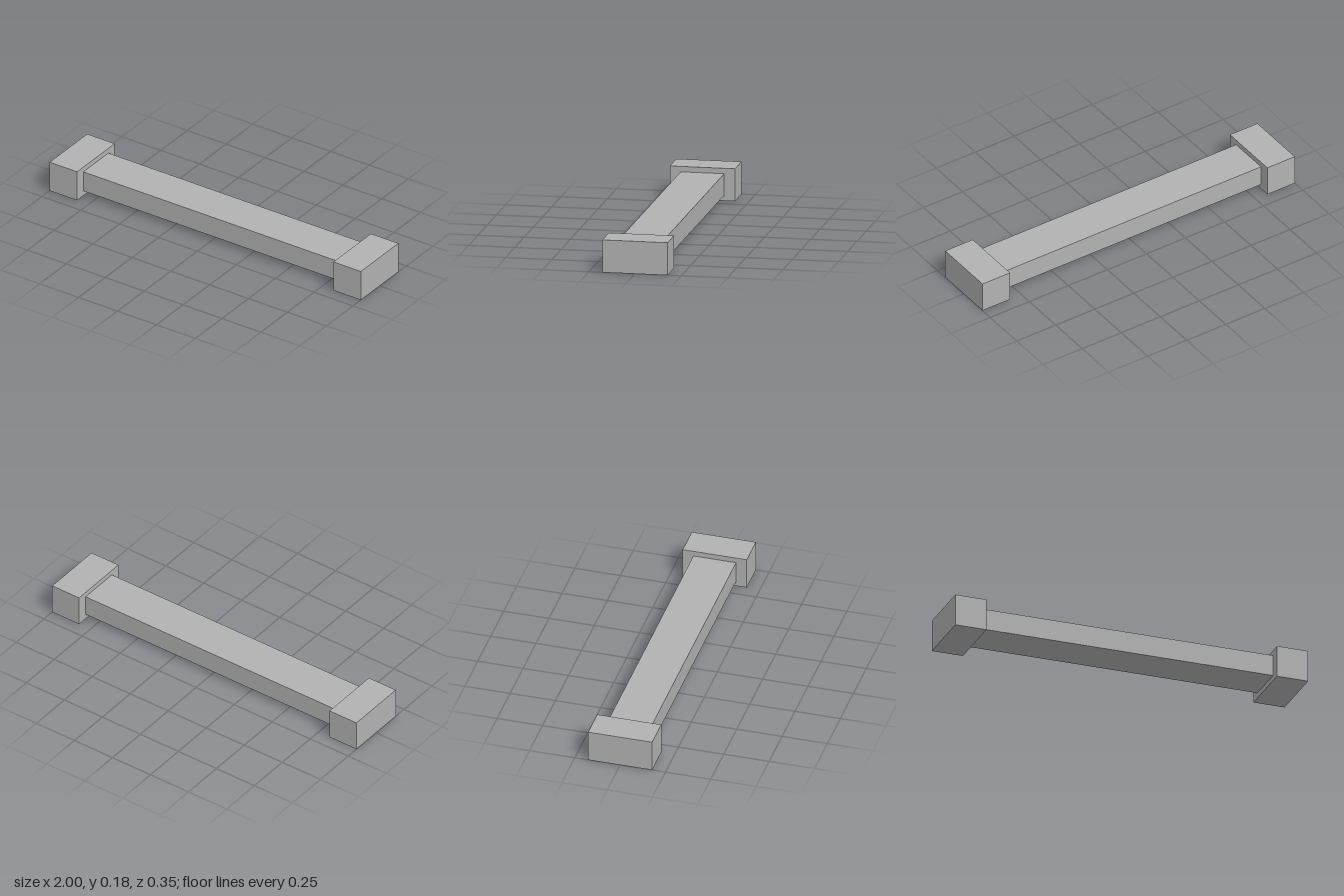
import * as THREE from 'three';

export function createModel() {
  const group = new THREE.Group();
  const grey = new THREE.MeshStandardMaterial({ color: 0xb2b2b2 });
  grey.name = 'grey';

  // Proportions follow a module of 1/17 of a unit
  const u = 1 / 17;
  const blockSize = 3 * u;

  function addBox(name, w, h, d, x) {
    const mesh = new THREE.Mesh(new THREE.BoxGeometry(w, h, d), grey);
    mesh.name = name;
    mesh.position.set(x, blockSize / 2, 0);
    group.add(mesh);
  }

  // Long beam between the end blocks
  addBox('beam', 2 - 2 * blockSize, 2 * u, 4 * u, 0);

  // Square-faced block at each end
  for (const side of [-1, 1]) {
    addBox(side > 0 ? 'leftEndBlock' : 'rightEndBlock',
      blockSize, blockSize, 6 * u, side * (1 - blockSize / 2));
  }
  return group;
}
